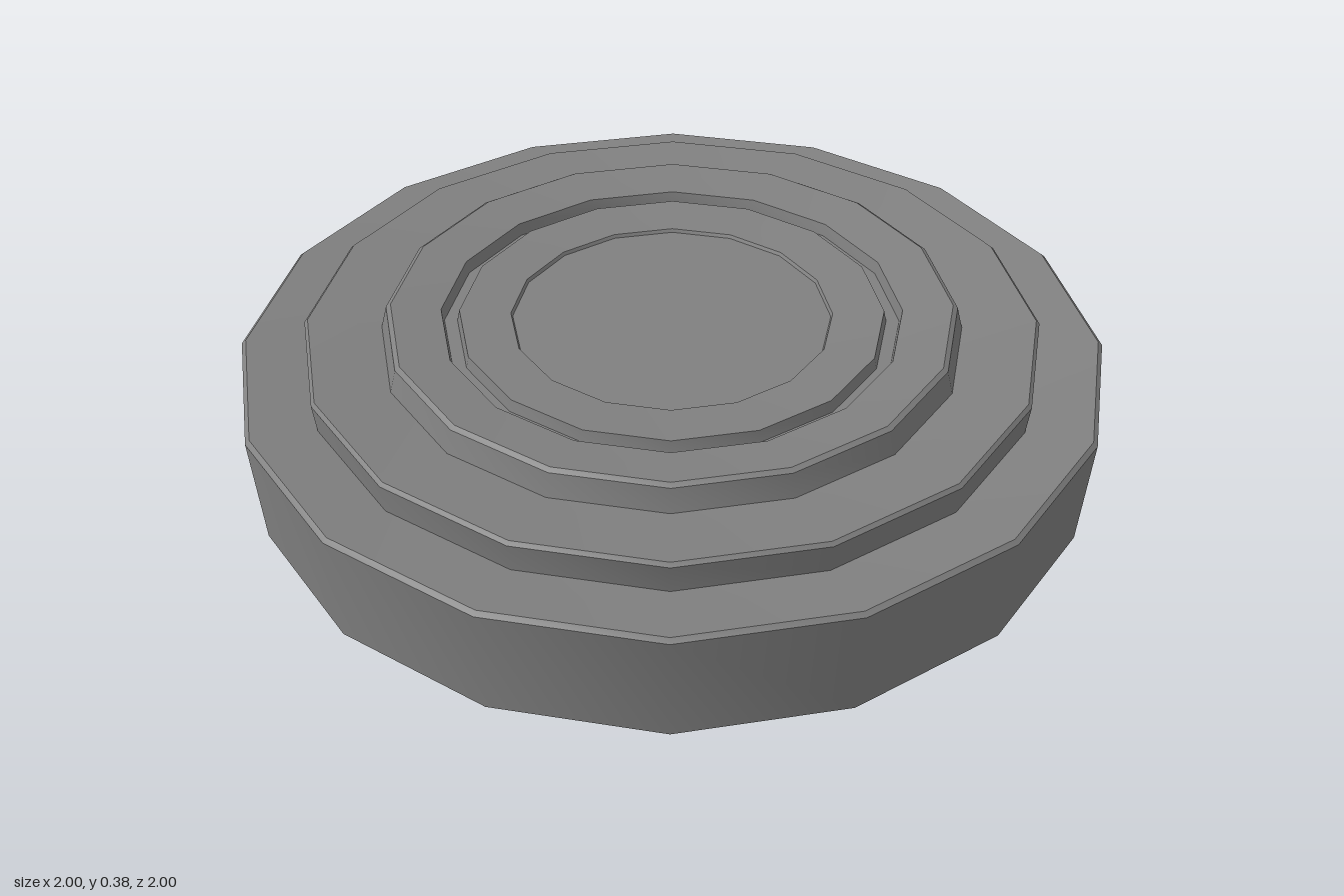
import * as THREE from 'three';
import { toCreasedNormals } from 'three/addons/utils/BufferGeometryUtils.js';

const SIDES = 16;
const material = new THREE.MeshStandardMaterial({ color: 0x808080, side: THREE.DoubleSide });

// Turns a [radius, height] profile into a 16-sided thin shell, smooth around, creased along the profile
function ring(name, profile) {
  const points = profile.map(([r, y]) => new THREE.Vector2(r, y));
  const geometry = toCreasedNormals(new THREE.LatheGeometry(points, SIDES), THREE.MathUtils.degToRad(28));
  const mesh = new THREE.Mesh(geometry, material);
  mesh.name = name;
  return mesh;
}

export function createModel() {
  const model = new THREE.Group();
  model.name = 'steppedDisc';

  // Open-bottomed outer wall, flaring slightly, with a bevelled rim and a ledge dipping inward
  model.add(ring('outerWall', [[0.98, 0], [1, 0.265], [0.99, 0.274], [0.84, 0.256]]));

  // Middle step, its ledge dipping inward too
  model.add(ring('middleTier', [[0.84, 0.256], [0.848, 0.325], [0.84, 0.333], [0.67, 0.314]]));

  // Top step, tapering in, with a bevelled rim and a dipping ledge
  model.add(ring('topTier', [[0.67, 0.314], [0.656, 0.369], [0.645, 0.376], [0.53, 0.362]]));

  // Narrow groove cut into the top
  model.add(ring('groove', [[0.53, 0.362], [0.524, 0.332], [0.494, 0.332], [0.488, 0.36]]));

  // Centre plate with a shallow sunken disc
  model.add(ring('centrePlate', [[0.488, 0.36], [0.37, 0.352], [0.366, 0.344], [0, 0.344]]));

  return model;
}
